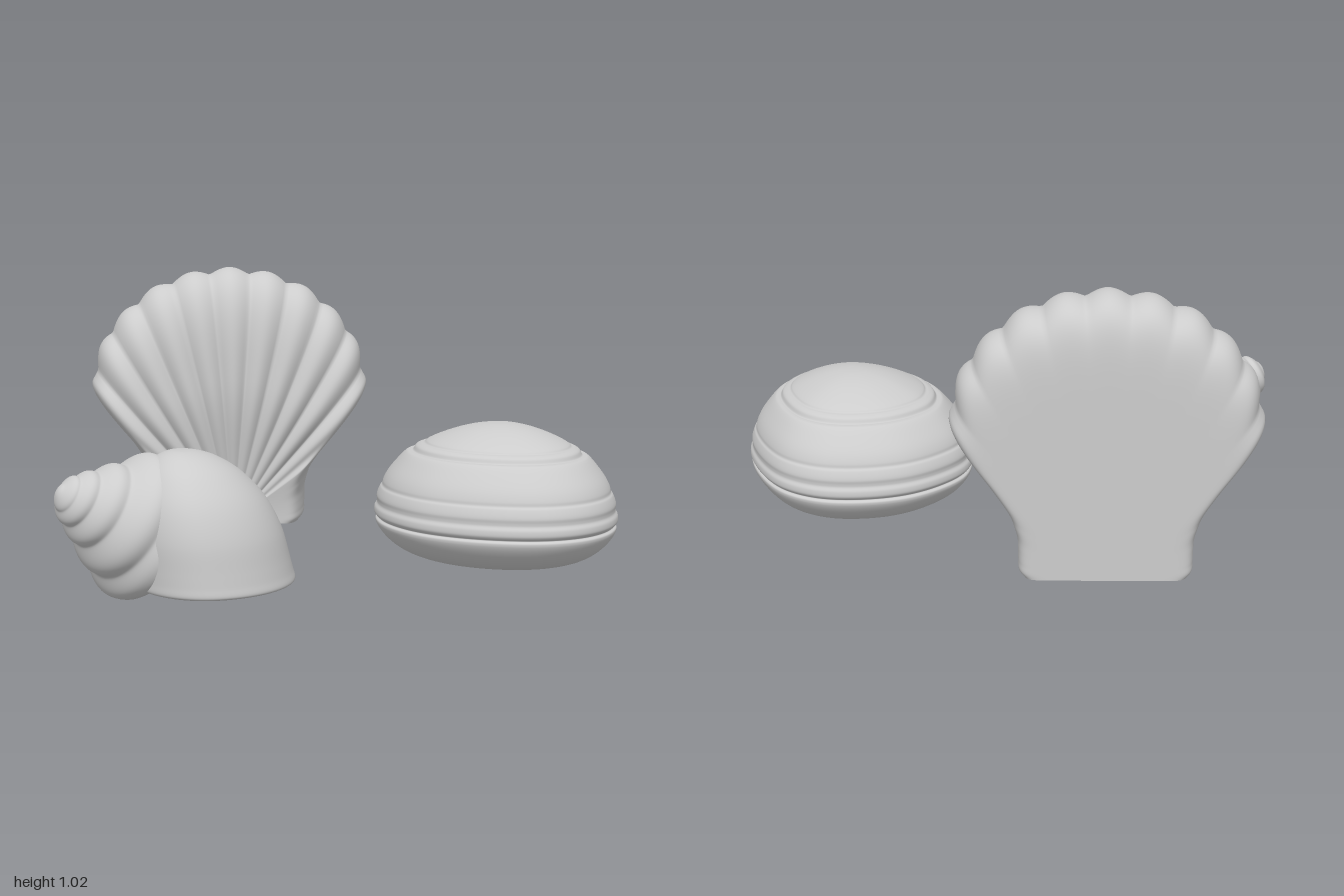
import * as THREE from 'three';
import { mergeVertices } from 'three/addons/utils/BufferGeometryUtils.js';

// Closed surface from a grid of points; turned outward by its signed volume.
function skin(rows, cols, point, weld = true) {
  const pos = [], idx = [];
  for (let i = 0; i <= rows; i++)
    for (let j = 0; j <= cols; j++) pos.push(...point(i, j));
  for (let i = 0; i < rows; i++)
    for (let j = 0; j < cols; j++) {
      const a = i * (cols + 1) + j, b = a + cols + 1;
      idx.push(a, b, a + 1, b, b + 1, a + 1);
    }
  const v = (k) => new THREE.Vector3().fromArray(pos, k * 3);
  let volume = 0;
  for (let k = 0; k < idx.length; k += 3)
    volume += v(idx[k]).dot(v(idx[k + 1]).cross(v(idx[k + 2])));
  if (volume < 0) idx.reverse();
  let geo = new THREE.BufferGeometry();
  geo.setAttribute('position', new THREE.Float32BufferAttribute(pos, 3));
  geo.setIndex(idx);
  if (weld) geo = mergeVertices(geo, 1e-5);
  geo.computeVertexNormals();
  return geo;
}

// Smooth samples through a few profile points.
function smooth(points, n) {
  return new THREE.CatmullRomCurve3(
    points.map(([x, y]) => new THREE.Vector3(x, y, 0)), false, 'centripetal').getPoints(n);
}

// Linear lookup of y at x along sampled points.
function lookup(samples, x) {
  let k = 1;
  while (k < samples.length - 1 && samples[k].x < x) k++;
  const a = samples[k - 1], b = samples[k];
  return a.y + (b.y - a.y) * THREE.MathUtils.clamp((x - a.x) / (b.x - a.x), 0, 1);
}

// Fan shell: rays spread from the hinge, each with a front and a flat back profile.
function scallopGeometry() {
  const outline = smooth([[0, 0.975], [9, 0.967], [18, 0.945], [27, 0.902], [36, 0.84], [42, 0.775],
    [45, 0.742], [47, 0.68], [50, 0.55], [53, 0.465], [56, 0.415], [60, 0.38],
    [65, 0.35], [72, 0.33], [80, 0.318], [86, 0.312], [90, 0.295]], 160);
  const rays = 270, half = 28, mid = 0.15;
  const point = (i, j) => {
    const k = THREE.MathUtils.clamp(i - 2, 0, rays);
    const deg = -90 + 180 * k / rays, a = THREE.MathUtils.degToRad(deg), side = Math.abs(deg);
    const ribbed = 1 - THREE.MathUtils.smoothstep(side, 46, 51);
    const groove = ribbed * (1 - Math.abs(Math.cos(Math.PI * deg / 9)));
    const s = Math.sin((1 - Math.abs(j - half) / half) * Math.PI / 2);
    let r = s * lookup(outline, side) * (1 - 0.024 * groove * s);
    let z;
    if (j < half) {
      const height = 0.26 + 0.08 * THREE.MathUtils.smoothstep(r, 0, 0.55)
        - 0.026 * groove * THREE.MathUtils.smoothstep(s, 0, 0.7);
      z = mid + (height - mid) * Math.sqrt(Math.max(0, 1 - s ** (13 - 5 * ribbed)));
    } else z = mid * (1 - Math.sqrt(Math.max(0, 1 - s ** 16)));
    r *= 1 - 0.6 * (1 - ribbed) * z; // side walls taper toward the front
    if (i === 0 || i === rays + 4) z = 0.13; // closes the flat foot
    return [r * Math.sin(a), side > 89.99 ? 0 : r * Math.cos(a), z];
  };
  return skin(rays + 4, half * 2, point, false);
}

// Clam: one profile swept round an egg-shaped outline.
function clamGeometry() {
  const rim = new THREE.CatmullRomCurve3([
    [0.165, 0.22], [0.2, 0.03], [0.29, -0.08], [0.43, -0.165], [0.6, -0.19], [0.75, -0.16],
    [0.87, -0.07], [0.95, 0.08], [0.995, 0.3], [0.965, 0.46], [0.88, 0.59], [0.77, 0.665],
    [0.64, 0.69], [0.5, 0.66], [0.34, 0.565], [0.22, 0.42],
  ].map(([x, z]) => new THREE.Vector3(x, 0, z)), true).getSpacedPoints(96);
  const profile = smooth([
    [0, 0.01], [0.3, 0.011], [0.52, 0.02], [0.78, 0.052], [0.92, 0.098], [0.985, 0.14],
    [0.988, 0.152], [0.968, 0.16], [0.988, 0.168], [1, 0.178], [0.997, 0.195],
    [0.978, 0.21], [0.977, 0.22], [0.98, 0.235], [0.955, 0.265], [0.936, 0.275], [0.93, 0.288],
    [0.9, 0.316], [0.83, 0.357], [0.745, 0.396], [0.715, 0.4], [0.69, 0.402], [0.67, 0.417],
    [0.63, 0.426], [0.6, 0.429], [0.58, 0.437], [0.45, 0.464], [0.28, 0.489],
    [0.12, 0.502], [0, 0.505],
  ], 150);
  return skin(150, 96, (i, j) => {
    const { x: s, y } = profile[i], p = rim[j % 96];
    const cx = 0.6, cz = 0.25;
    return [cx + (p.x - cx) * s, y, cz + (p.z - cz) * s];
  });
}

// Snail body: leaning dome with a flared lip and a hollow mouth underneath.
function bodyGeometry() {
  const profile = smooth([
    [0, 0.11], [0.15, 0.1], [0.5, 0.065], [0.85, 0.042], [0.97, 0.037], [1, 0.047],
    [0.99, 0.075], [0.975, 0.12], [0.94, 0.21], [0.83, 0.31], [0.62, 0.4],
    [0.38, 0.455], [0.17, 0.478], [0, 0.482],
  ], 70);
  return skin(70, 80, (i, j) => {
    const { x: s, y } = profile[i], t = (j % 80) / 80 * Math.PI * 2;
    const c = Math.cos(t);
    return [-0.51 - 0.15 * y + s * c * (c > 0 ? 0.315 : 0.24), y, 0.425 + s * Math.sin(t) * 0.308];
  });
}

// Spire: cone along a tilted axis with whorls winding round it.
function spireGeometry() {
  const axis = new THREE.Vector3(0.86, -0.43, -0.27).normalize();
  const u = new THREE.Vector3(0, 1, 0).cross(axis).normalize();
  const w = axis.clone().cross(u);
  const taper = smooth([[0, 1], [0.15, 1], [0.27, 1], [0.34, 0.88], [0.4, 0.71], [0.46, 0.5], [0.52, 0]], 60);
  const rows = 140, cols = 72;
  return skin(rows, cols, (i, j) => {
    const l = 0.52 * (i / rows) ** 1.3, t = (j % cols) / cols * Math.PI * 2;
    const base = 0.045 + 0.68 * l;
    const wave = Math.sin(Math.PI * (Math.log(base) / Math.log(1.5) + t / (2 * Math.PI)));
    const bump = 0.9 + 0.14 * Math.sqrt(wave * wave + 0.03);
    const tip = Math.sqrt(1 - (1 - Math.min(1, l / 0.045)) ** 2);
    const r = base * bump * tip * lookup(taper, l);
    const p = new THREE.Vector3(-1, 0.37, 0.495).addScaledVector(axis, l)
      .addScaledVector(u, r * Math.cos(t)).addScaledVector(w, r * Math.sin(t));
    return [p.x, Math.max(0, p.y), p.z];
  });
}

export function createModel() {
  const group = new THREE.Group();
  group.name = 'seashells';
  const grey = new THREE.MeshStandardMaterial({ color: 0xcccccc });
  grey.name = 'shell grey';
  const add = (name, geometry, parent = group) => {
    const mesh = new THREE.Mesh(geometry, grey);
    mesh.name = name;
    parent.add(mesh);
    return mesh;
  };

  const scallop = add('scallopShell', scallopGeometry());
  scallop.position.set(-0.2, 0.045, -0.69);
  scallop.rotation.y = -0.125;

  add('clamShell', clamGeometry());

  const snail = new THREE.Group();
  snail.name = 'snailShell';
  group.add(snail);
  add('snailBodyWhorl', bodyGeometry(), snail);
  add('snailSpire', spireGeometry(), snail);
  return group;
}
